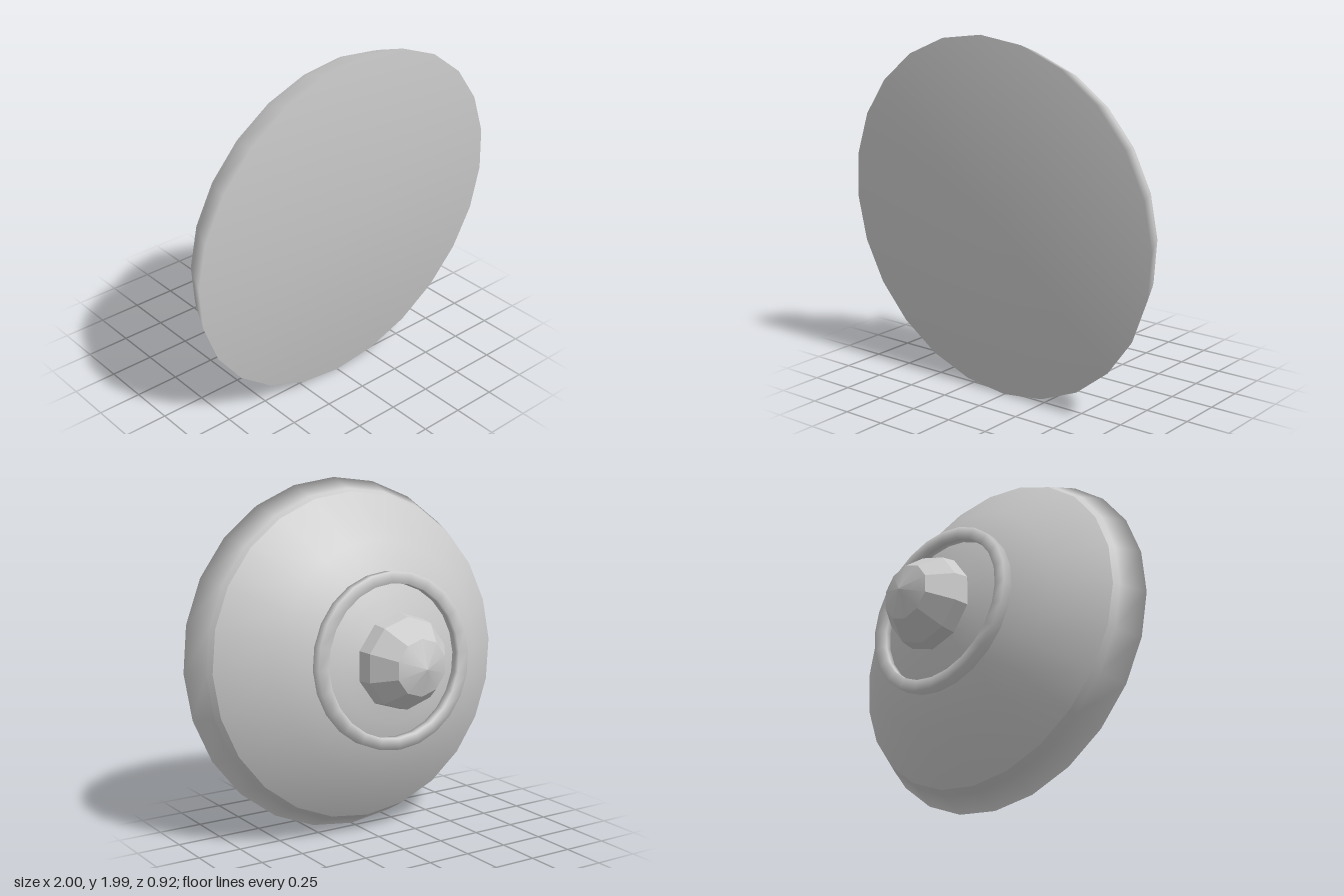
import * as THREE from 'three';

const grey = () => new THREE.MeshStandardMaterial({ color: 0xcccccc });

// Turned part around its local y axis; profile is [radius, height] pairs
function turned(name, profile, sides, material = grey()) {
  const points = profile.map(([r, h]) => new THREE.Vector2(r, h));
  const mesh = new THREE.Mesh(new THREE.LatheGeometry(points, sides), material);
  mesh.name = name;
  return mesh;
}

// Points on a spherical cap, from one ring angle up to the pole (degrees)
function capProfile(radius, centreHeight, angles) {
  return angles.map((deg) => {
    const a = THREE.MathUtils.degToRad(deg);
    return [radius * Math.sin(a), centreHeight + radius * Math.cos(a)];
  });
}

export function createModel() {
  const model = new THREE.Group();
  model.name = 'roundLamp';

  // Body: local y runs backwards, tilted five degrees
  const body = new THREE.Group();
  body.name = 'body';
  body.position.set(0, 1, 0.375);
  body.rotation.x = THREE.MathUtils.degToRad(-85);
  model.add(body);

  // Closed front face flowing into the flared rim
  body.add(turned('frontFaceAndRim', [[0, 0], [1, 0], [0.936, 0.142]], 24));

  // Narrow band between rim and shell
  body.add(turned('band', [[0.936, 0.142], [0.917, 0.18]], 24));

  // Rounded back shell
  const shell = capProfile(1.3, -0.738, [45, 30, 15, 0]);
  shell[0] = [0.917, 0.18];
  body.add(turned('backShell', shell, 24));

  // Square-section ring standing on the shell
  const [inner, outer, low, high] = [0.422, 0.486, 0.485, 0.546];
  const mid = (low + high) / 2;
  body.add(turned('backRing', [
    [inner, mid], [inner, low], [outer, low], [outer, high], [inner, high], [inner, mid],
  ], 24));

  // Faceted knob pointing straight back, with a smooth tip
  const knob = new THREE.Group();
  knob.name = 'knob';
  knob.position.set(0, 1.055, -0.197);
  knob.rotation.x = -Math.PI / 2;
  model.add(knob);

  const facets = grey();
  facets.flatShading = true;
  const rings = capProfile(0.265, 0, [90, 72, 36, 0]);
  knob.add(turned('knobSides', [[0, 0], ...rings.slice(0, 3)], 10, facets));
  knob.add(turned('knobTip', rings.slice(2), 10));

  return model;
}
